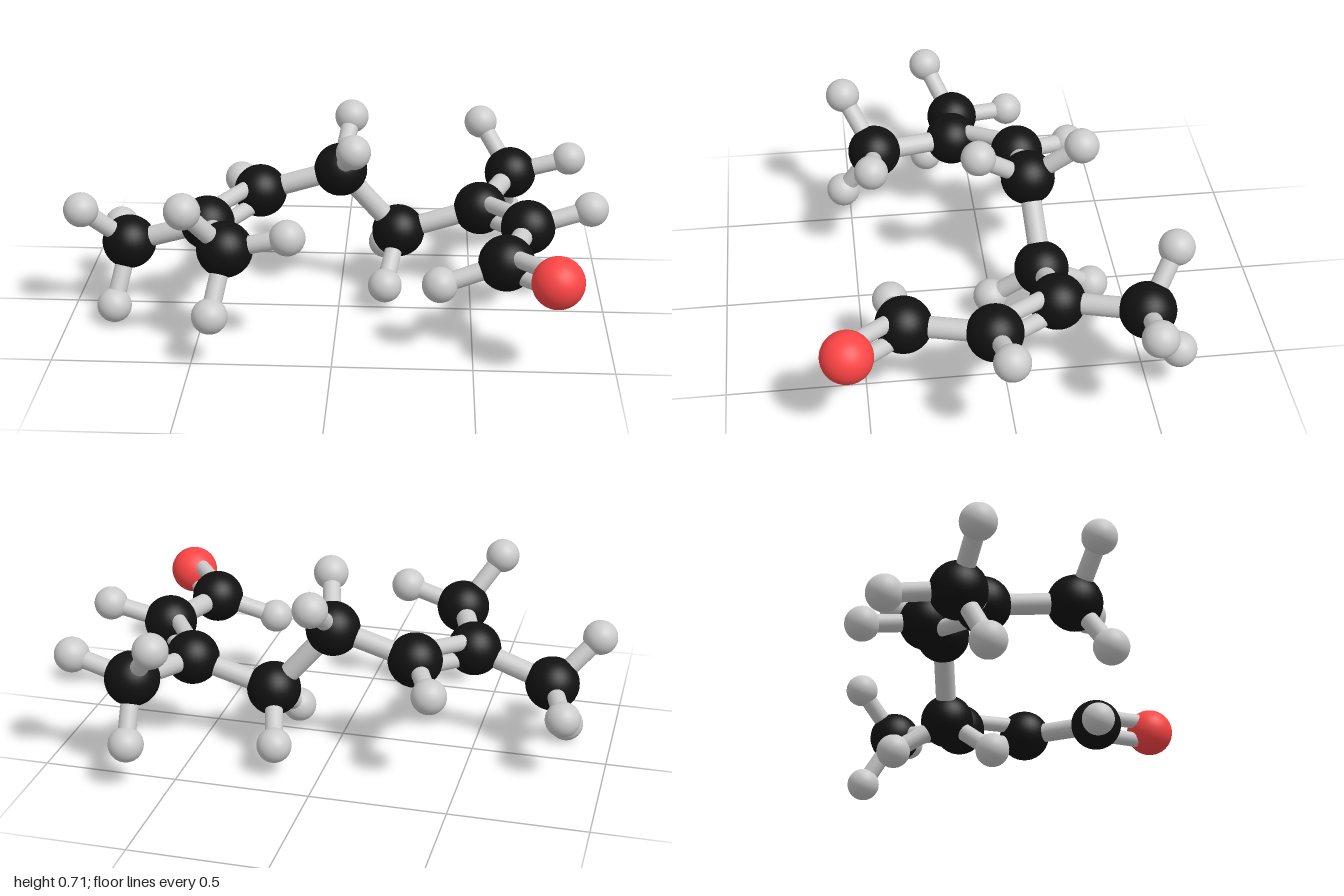
import * as THREE from 'three';

// Atom positions: carbons c1..c10 and the oxygen
const heavy = {
  c1: [-0.78, 0.28, 0.06], c2: [-0.48, 0.375, 0.09], c3: [-0.38, 0.405, 0.4],
  c4: [-0.305, 0.413, -0.145], c5: [0, 0.505, -0.146], c6: [0.22, 0.25, -0.17],
  c7: [0.53, 0.345, -0.18], c8: [0.655, 0.38, -0.475], c9: [0.7, 0.37, 0.06],
  c10: [0.61, 0.36, 0.365], o: [0.777, 0.38, 0.567],
};

// Hydrogens listed under the carbon that carries them
const hydrogens = {
  c1: [[-0.85, 0.255, -0.173], [-0.936, 0.442, 0.154], [-0.828, 0.067, 0.168]],
  c3: [[-0.157, 0.463, 0.424], [-0.51, 0.588, 0.507], [-0.424, 0.204, 0.527]],
  c4: [[-0.4, 0.38, -0.36]],
  c5: [[0.033, 0.652, -0.338], [0.056, 0.643, 0.043]],
  c6: [[0.165, 0.118, -0.366], [0.175, 0.1, 0.013]],
  c8: [[0.883, 0.445, -0.47], [0.536, 0.551, -0.59], [0.643, 0.179, -0.6]],
  c9: [[0.93, 0.434, 0.031]],
  c10: [[0.378, 0.285, 0.397]],
};

const singleBonds = [['c1', 'c2'], ['c2', 'c3'], ['c4', 'c5'], ['c5', 'c6'],
  ['c6', 'c7'], ['c7', 'c8'], ['c9', 'c10']];
const doubleBonds = [['c2', 'c4'], ['c7', 'c9'], ['c10', 'o']];

const vec = (p) => new THREE.Vector3(...p);

export function createModel() {
  const model = new THREE.Group();
  model.name = 'molecule';

  const grey = new THREE.MeshStandardMaterial({ color: 0xcccccc });
  const black = new THREE.MeshStandardMaterial({ color: 0x111111 });
  const red = new THREE.MeshStandardMaterial({ color: 0xff4545 });

  const ball = (r) => new THREE.SphereGeometry(r, 32, 20);
  const carbonBall = ball(0.1), oxygenBall = ball(0.092), hydrogenBall = ball(0.064);
  const rod = new THREE.CylinderGeometry(1, 1, 1, 20);

  function addAtom(name, geometry, material, p) {
    const mesh = new THREE.Mesh(geometry, material);
    mesh.name = name;
    mesh.position.copy(vec(p));
    model.add(mesh);
  }

  // Cylinder running between two points
  function addBond(name, a, b, radius) {
    const dir = b.clone().sub(a);
    const mesh = new THREE.Mesh(rod, grey);
    mesh.name = name;
    mesh.scale.set(radius, dir.length(), radius);
    mesh.position.copy(a).add(b).multiplyScalar(0.5);
    mesh.quaternion.setFromUnitVectors(new THREE.Vector3(0, 1, 0), dir.normalize());
    model.add(mesh);
  }

  // Carbons and oxygen
  for (const [id, p] of Object.entries(heavy)) {
    if (id === 'o') addAtom('oxygenAtom', oxygenBall, red, p);
    else addAtom('carbonAtom', carbonBall, black, p);
  }

  // Hydrogens with their bonds
  for (const [id, list] of Object.entries(hydrogens)) {
    for (const p of list) {
      addAtom('hydrogenAtom', hydrogenBall, grey, p);
      addBond('hydrogenBond', vec(heavy[id]), vec(p), 0.033);
    }
  }

  // Single bonds of the chain
  for (const [a, b] of singleBonds) addBond('singleBond', vec(heavy[a]), vec(heavy[b]), 0.038);

  // Double bonds: two rods stacked across the plane of the neighbouring atoms
  for (const [i, j] of doubleBonds) {
    const a = vec(heavy[i]), b = vec(heavy[j]);
    const dir = b.clone().sub(a).normalize();
    const offset = new THREE.Vector3(-0.29, 0.95, 0.05).projectOnPlane(dir).setLength(0.037);
    for (const s of [-1, 1]) {
      addBond('doubleBond', a.clone().addScaledVector(offset, s), b.clone().addScaledVector(offset, s), 0.03);
    }
  }

  return model;
}
